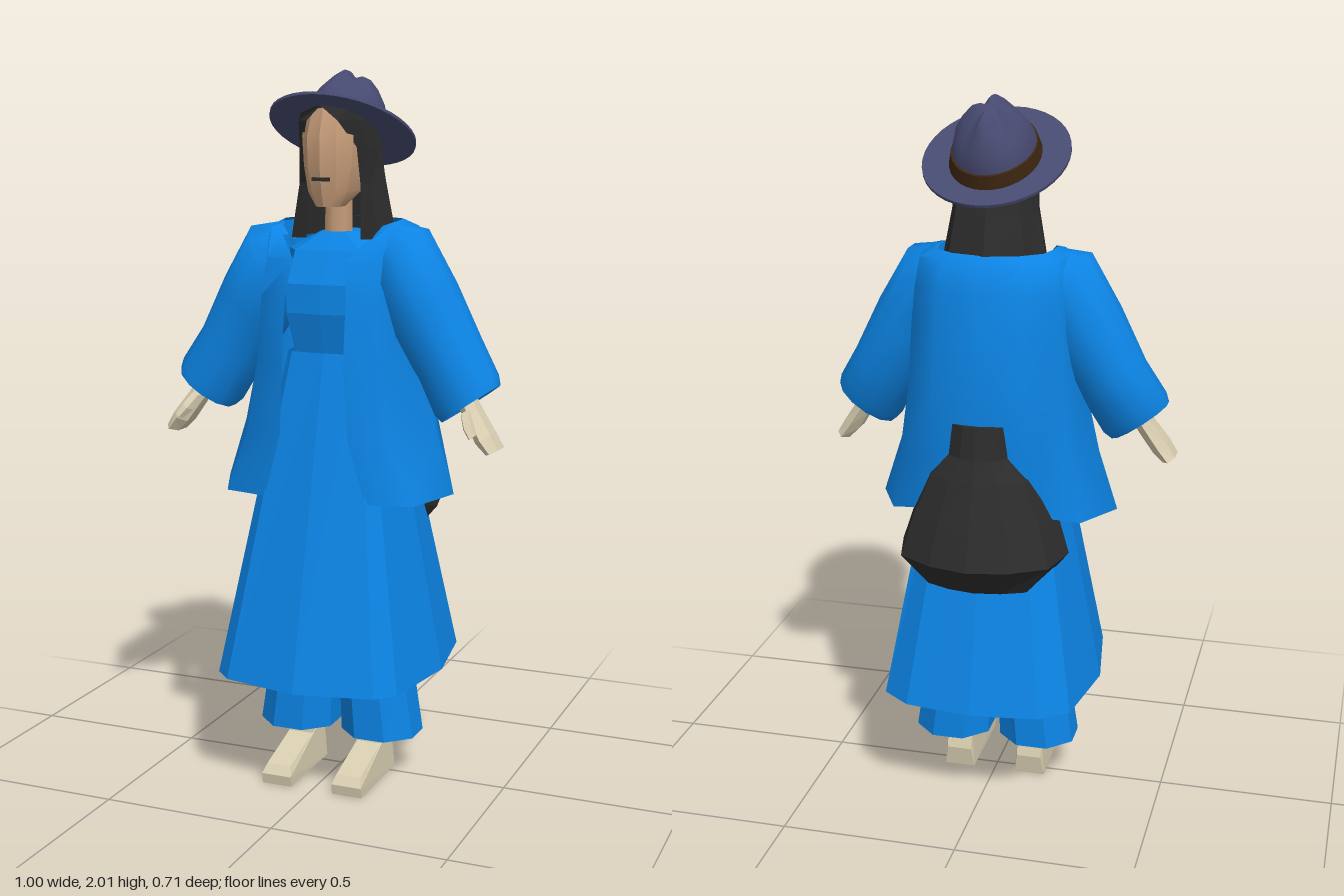
import * as THREE from 'three';
import { toCreasedNormals } from 'three/addons/utils/BufferGeometryUtils.js';

const mat = (name, color) => {
  const m = new THREE.MeshStandardMaterial({ color, side: THREE.DoubleSide });
  m.name = name;
  return m;
};

// Skin a stack of rings; crease is the largest angle that is shaded smooth
function loft(rings, { closed = true, caps = true, crease = 0.01 } = {}) {
  const n = rings[0].length, index = [];
  for (let i = 0; i < rings.length - 1; i++) {
    for (let j = 0; j < (closed ? n : n - 1); j++) {
      const k = (j + 1) % n, a = i * n + j, b = i * n + k;
      index.push(a, b, b + n, a, b + n, a + n);
    }
  }
  if (closed && caps) {
    const top = (rings.length - 1) * n;
    for (let j = 1; j < n - 1; j++) index.push(0, j + 1, j, top, top + j, top + j + 1);
  }
  const geo = new THREE.BufferGeometry();
  geo.setAttribute('position', new THREE.Float32BufferAttribute(rings.flat(2), 3));
  geo.setIndex(index);
  return toCreasedNormals(geo, crease);
}

// Half outline [x, z, dy] from front to back, mirrored to a whole ring at height y
function sym(y, half, open = false) {
  const right = half.map(([x, z, dy = 0]) => [x, y + dy, z]);
  const left = right.filter((p, i) => open ? i < half.length - 1 : p[0] !== 0)
    .map(([x, py, z]) => [-x, py, z]).reverse();
  return [...right, ...left];
}

// Elliptic ring across a limb; deg tilts it in the front plane
function limbRing([x, y, z, deg, ru, rv], n) {
  const a = deg * Math.PI / 180;
  return Array.from({ length: n }, (_, i) => {
    const t = (i + 0.5) / n * Math.PI * 2, u = ru * Math.cos(t);
    return [x + u * Math.cos(a), y + u * Math.sin(a), z + rv * Math.sin(t)];
  });
}
const limb = (rows, n, opt) => loft(rows.map(r => limbRing(r, n)), opt);

export function createModel() {
  const blue = mat('blue cloth', 0x0c84e4), black = mat('black', 0x2c2c2c);
  const skin = mat('face skin', 0xc69c79), pale = mat('pale skin', 0xd8cdb0);
  const felt = mat('hat felt', 0x474a70), brown = mat('hat band brown', 0x3d2610);
  const model = new THREE.Group();
  model.name = 'figure';
  const add = (name, geo, material, parent = model) => {
    const m = new THREE.Mesh(geo, material);
    m.name = name;
    parent.add(m);
    return m;
  };

  // Dress: wide skirt, waist and bodice
  add('skirt', loft([
    sym(0.33, [[0, 0.357], [0.22, 0.31], [0.27, 0.26], [0.31, 0], [0.27, -0.25], [0.19, -0.31], [0, -0.335]]),
    sym(1.24, [[0, 0.13], [0.1, 0.12], [0.12, 0.1], [0.135, 0], [0.12, -0.08], [0.08, -0.1], [0, -0.11]]),
  ], { caps: false }), blue);
  const bodice = [[1.24, 0.135, 0.13], [1.35, 0.16, 0.155], [1.43, 0.16, 0.15], [1.52, 0.15, 0.105], [1.57, 0.05, 0.06]];
  add('bodice', loft(bodice.map(([y, w, d]) =>
    sym(y, [[0, d], [w * 0.65, d * 0.95], [w, 0.02], [w * 0.65, -0.09], [0, -0.1]]))), blue);

  // Open jacket, hem to collar
  add('jacket', loft([
    sym(0.84, [[0.15, 0.2, 0], [0.28, 0.17, 0], [0.345, 0.02, 0.01], [0.27, -0.14, 0.02], [0.14, -0.2, 0.05], [0, -0.215, 0.06]], true),
    sym(1.02, [[0.1, 0.205], [0.21, 0.175], [0.29, 0.02], [0.24, -0.15], [0.13, -0.215], [0, -0.23]], true),
    sym(1.22, [[0.09, 0.21], [0.18, 0.175], [0.25, 0], [0.22, -0.14], [0.13, -0.22], [0, -0.24]], true),
    sym(1.4, [[0.09, 0.19], [0.17, 0.165], [0.23, 0.01], [0.21, -0.13], [0.12, -0.205], [0, -0.222]], true),
    sym(1.5, [[0.075, 0.165], [0.16, 0.15], [0.23, 0.01], [0.2, -0.13], [0.12, -0.19], [0, -0.2]], true),
    sym(1.58, [[0.135, 0.1, -0.02], [0.17, 0.1], [0.21, 0.01], [0.19, -0.11], [0.11, -0.17], [0, -0.187]], true),
    sym(1.6, [[0.125, 0.08, -0.04], [0.15, 0.07, -0.01], [0.17, 0], [0.15, -0.09], [0.09, -0.14], [0, -0.16]], true),
  ], { closed: false, crease: 1 }), blue);

  // Limbs, built on the left and mirrored to the right
  const footShape = new THREE.Shape([[-0.04, 0], [0.225, 0], [0.23, 0.03], [0.21, 0.055], [0.055, 0.1], [0.04, 0.2], [-0.025, 0.2], [-0.03, 0.13], [-0.05, 0.06]]
    .map(p => new THREE.Vector2(...p)));
  for (const side of [1, -1]) {
    const half = new THREE.Group();
    half.name = side > 0 ? 'leftLimbs' : 'rightLimbs';
    half.scale.x = side;
    model.add(half);

    add('sleeve', limb([
      [0.14, 1.49, 0.0, 80, 0.11, 0.11], [0.19, 1.47, 0.02, 60, 0.13, 0.13],
      [0.255, 1.36, 0.02, 42, 0.115, 0.12], [0.33, 1.23, 0.02, 35, 0.102, 0.108],
      [0.385, 1.135, 0.04, 35, 0.105, 0.092], [0.4, 1.112, 0.045, 35, 0.096, 0.085],
      [0.39, 1.127, 0.045, 35, 0.075, 0.065], [0.36, 1.18, 0.04, 35, 0.07, 0.065],
    ], 12, { crease: 1 }), blue, half);
    add('hand', limb([
      [0.36, 1.18, 0.05, 35, 0.025, 0.035], [0.415, 1.09, 0.07, 35, 0.027, 0.045],
      [0.455, 1.03, 0.085, 35, 0.028, 0.056], [0.482, 0.995, 0.085, 25, 0.022, 0.054],
    ], 6), pale, half);
    add('thumb', limb([
      [0.4, 1.1, 0.09, 35, 0.018, 0.03], [0.42, 1.065, 0.13, 35, 0.017, 0.024],
      [0.438, 1.04, 0.15, 35, 0.012, 0.016],
    ], 5), pale, half);

    const leg = [[0.125, 0.128, 0.112, 0.11], [0.33, 0.108, 0.1, 0.108], [0.9, 0.075, 0.075, 0.09]];
    add('trouserLeg', loft(leg.map(([y, x, rx, rz]) => Array.from({ length: 8 }, (_, i) => {
      const t = (i + 0.5) / 8 * Math.PI * 2;
      return [x + rx * 1.06 * Math.sin(t), y, rz * 1.04 * Math.cos(t)];
    }))), blue, half);
    const foot = new THREE.ExtrudeGeometry(footShape, { depth: 0.085, bevelEnabled: false });
    foot.rotateY(-Math.PI / 2).translate(0.15, 0, 0);
    const p = foot.attributes.position;
    for (let i = 0; i < p.count; i++) { // narrow the upper foot
      p.setX(i, 0.107 + (p.getX(i) - 0.107) * (p.getY(i) > 0.05 ? 0.85 : 1.05));
    }
    foot.computeVertexNormals();
    add('foot', foot, pale, half);
  }

  // Head, neck and mouth
  add('head', loft([
    sym(1.64, [[0, 0.13], [0.022, 0.122], [0.035, 0.1], [0.035, 0.06], [0, 0.04]]),
    sym(1.68, [[0, 0.143], [0.035, 0.13], [0.058, 0.1], [0.07, 0.03], [0, -0.03]]),
    sym(1.75, [[0, 0.157], [0.042, 0.14], [0.07, 0.1], [0.085, 0.02], [0, -0.08]]),
    sym(1.83, [[0, 0.157], [0.042, 0.142], [0.075, 0.1], [0.085, 0.02], [0, -0.08]]),
    sym(1.92, [[0, 0.125], [0.035, 0.115], [0.06, 0.08], [0.07, 0], [0, -0.07]]),
  ], { crease: 0.35 }), skin);
  const neck = new THREE.CylinderGeometry(0.04, 0.042, 0.16, 8).translate(0, 1.6, 0.02);
  add('neck', neck, skin);
  add('mouth', new THREE.BoxGeometry(0.05, 0.01, 0.009).translate(0, 1.715, 0.1475), black);

  // Long hair, parted around the face
  add('hair', loft([
    sym(1.55, [[0.08, 0.06], [0.13, 0.05], [0.148, -0.04], [0.11, -0.135], [0, -0.175]], true),
    sym(1.7, [[0.08, 0.06], [0.105, 0.05], [0.12, -0.03], [0.09, -0.11], [0, -0.137]], true),
    sym(1.8, [[0.08, 0.088], [0.1, 0.06], [0.11, -0.02], [0.08, -0.09], [0, -0.115]], true),
    sym(1.87, [[0.045, 0.138], [0.09, 0.09], [0.1, -0.01], [0.08, -0.08], [0, -0.1]], true),
    sym(1.91, [[0, 0.15], [0.07, 0.11], [0.09, 0], [0.07, -0.07], [0, -0.09]], true),
  ], { closed: false }), black);

  // Bag hanging at the back: height, half width, front z, back z
  const bag = [[0.68, 0.16, -0.18, -0.28], [0.77, 0.24, -0.145, -0.357], [0.88, 0.205, -0.135, -0.325],
    [1.0, 0.15, -0.16, -0.285], [1.06, 0.095, -0.16, -0.265], [1.15, 0.08, -0.2, -0.248]];
  add('bag', loft(bag.map(([y, w, f, b]) =>
    sym(y, [[0, f], [w, f], [w * 0.87, f + (b - f) * 0.6], [w * 0.46, f + (b - f) * 0.88], [0, b]]))), black);

  // Tilted hat with a pinched crown
  const hat = new THREE.Group();
  hat.name = 'hat';
  hat.position.set(0, 1.843, -0.01);
  hat.rotation.x = -0.436;
  model.add(hat);
  add('brim', new THREE.CylinderGeometry(0.2, 0.2, 0.008, 40).scale(1, 1, 1.18), felt, hat);
  add('hatBand', new THREE.CylinderGeometry(0.116, 0.125, 0.038, 32).scale(1, 1, 1.27).translate(0, 0.02, -0.01), brown, hat);
  const crown = [[0, 1, 0], [0.05, 0.95, 0.02], [0.09, 0.86, 0.1], [0.125, 0.68, 0.2], [0.155, 0.45, 0.28], [0.165, 0.25, 0.25], [0.16, 0.01, 0]];
  add('crown', loft(crown.map(([y, r, pinch]) => Array.from({ length: 32 }, (_, i) => {
    const t = i / 32 * Math.PI * 2, s = r * (1 - pinch * (0.5 - 0.5 * Math.cos(4 * t)));
    const dip = pinch * 0.05 * (0.5 - 0.5 * Math.cos(4 * t));
    return [0.117 * s * Math.sin(t), y - dip, -0.01 + 0.147 * s * Math.cos(t)];
  })), { crease: 1.2 }), felt, hat);

  return model;
}
